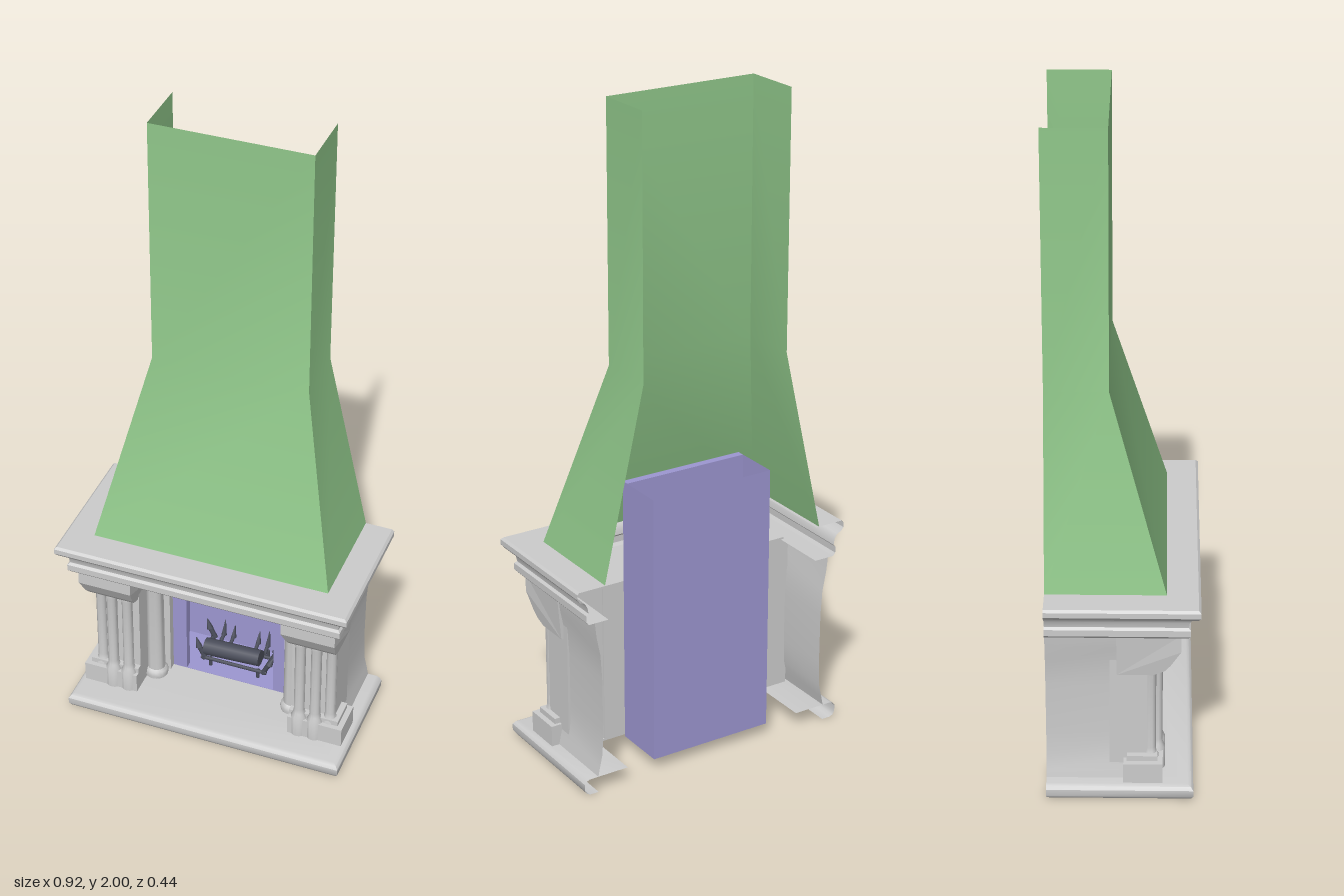
import * as THREE from 'three';
import { toCreasedNormals } from 'three/addons/utils/BufferGeometryUtils.js';

const paint = (color) => new THREE.MeshStandardMaterial({ color, side: THREE.DoubleSide });
const stone = paint(0xcccccc);
const green = paint(0x90c78a);
const purple = paint(0x9c96d0);
const iron = paint(0x4a4d5a);
const BACK = -0.225;

export function createModel() {
  const root = new THREE.Group();

  const add = (name, geometry, material, x = 0, y = 0, z = 0) => {
    const mesh = new THREE.Mesh(geometry, material);
    mesh.name = name;
    mesh.position.set(x, y, z);
    root.add(mesh);
    return mesh;
  };
  // Box given by its low and high corners
  const box = (name, material, [x0, y0, z0], [x1, y1, z1]) =>
    add(name, new THREE.BoxGeometry(x1 - x0, y1 - y0, z1 - z0), material,
      (x0 + x1) / 2, (y0 + y1) / 2, (z0 + z1) / 2);

  // Sheet joining rows of points: one row per profile point
  const sheet = (rows) => {
    const pos = rows.flat(2);
    const n = rows[0].length;
    const index = [];
    for (let r = 0; r < rows.length - 1; r++) {
      for (let c = 0; c < n - 1; c++) {
        const a = r * n + c;
        index.push(a, a + n, a + 1, a + 1, a + n, a + n + 1);
      }
    }
    const g = new THREE.BufferGeometry();
    g.setAttribute('position', new THREE.Float32BufferAttribute(pos, 3));
    g.setIndex(index);
    g.computeVertexNormals();
    return toCreasedNormals(g, 0.6);
  };
  // Moulding that runs round the two sides and the front, open at the back
  const surround = (profile) => sheet(profile.map(([x, y, z = x - 0.24]) =>
    [[-x, y, BACK], [-x, y, z], [x, y, z], [x, y, BACK]]));
  // Straight rod between two points
  const rod = (name, a, b, r0, r1 = r0) => {
    const from = new THREE.Vector3(...a);
    const dir = new THREE.Vector3(...b).sub(from);
    const mesh = add(name, new THREE.CylinderGeometry(r1, r0, dir.length(), 6), iron);
    mesh.position.copy(from).addScaledVector(dir, 0.5);
    mesh.quaternion.setFromUnitVectors(new THREE.Vector3(0, 1, 0), dir.normalize());
    return mesh;
  };
  const lathe = (points, segments = 16) =>
    toCreasedNormals(new THREE.LatheGeometry(points.map((p) => new THREE.Vector2(...p)), segments), 0.7);

  // Chimney hood
  add('hood', surround([[0.24, 2, -0.042], [0.24, 1.23, -0.042], [0.37, 0.655, 0.123]]), green);

  // Mantel and the ceiling beneath it
  add('mantel', surround([
    [0.36, 0.655], [0.453, 0.655], [0.46, 0.648], [0.46, 0.632], [0.452, 0.622], [0.437, 0.615],
    [0.428, 0.6], [0.425, 0.582], [0.432, 0.575], [0.432, 0.555], [0.424, 0.546], [0.36, 0.546],
  ]), stone);
  box('mantelSoffit', stone, [-0.37, 0.545, -0.045], [0.37, 0.552, 0.13]);

  // Hearth base and its floor
  add('hearthBase', surround([
    [0.3, 0.05], [0.428, 0.05], [0.438, 0.046], [0.445, 0.036],
    [0.445, 0.016], [0.438, 0.005], [0.428, 0], [0.4, 0],
  ]), stone);
  box('hearthFloor', stone, [-0.31, 0.044, -0.045], [0.31, 0.05, 0.08]);

  // Arched surround in front of the firebox
  const arch = new THREE.Shape();
  arch.moveTo(0.27, 0.05);
  arch.lineTo(0.27, 0.546);
  arch.lineTo(-0.27, 0.546);
  arch.lineTo(-0.27, 0.05);
  arch.lineTo(-0.19, 0.05);
  arch.lineTo(-0.19, 0.455);
  arch.quadraticCurveTo(-0.11, 0.505, 0, 0.505);
  arch.quadraticCurveTo(0.11, 0.505, 0.19, 0.455);
  arch.lineTo(0.19, 0.05);
  add('archSurround', new THREE.ExtrudeGeometry(arch, { depth: 0.025, bevelEnabled: false, curveSegments: 12 }),
    stone, 0, 0, -0.045);

  // Corbel seen from the side, drawn as (z, y)
  const corbel = new THREE.Shape([
    [-0.02, 0.546], [0.165, 0.546], [0.165, 0.49], [0.135, 0.44], [0.118, 0.42], [0.085, 0.405], [-0.02, 0.405],
  ].map((p) => new THREE.Vector2(...p)));
  const corbelGeometry = new THREE.ExtrudeGeometry(corbel, { depth: 0.145, bevelEnabled: false });
  corbelGeometry.rotateY(-Math.PI / 2);
  // Shoulders widen towards the top on the outer side
  const cp = corbelGeometry.attributes.position;
  for (let i = 0; i < cp.count; i++) {
    const grow = THREE.MathUtils.clamp((cp.getY(i) - 0.405) / 0.085, 0, 1) * 0.012;
    cp.setX(i, (cp.getX(i) + 0.0725) * (1 + grow / 0.0725));
  }
  corbelGeometry.computeVertexNormals();

  const slimColumn = lathe([
    [0, 0.05], [0.025, 0.05], [0.025, 0.12], [0.018, 0.135], [0.0165, 0.15], [0.0165, 0.4],
    [0.019, 0.41], [0.016, 0.43], [0.009, 0.442], [0, 0.447],
  ]);
  const wideColumn = lathe([
    [0, 0.05], [0.036, 0.05], [0.038, 0.06], [0.035, 0.072], [0.028, 0.08],
    [0.026, 0.48], [0.032, 0.51], [0.035, 0.53], [0.035, 0.546],
  ], 20);

  for (const s of [-1, 1]) {
    const span = (a, b) => [Math.min(s * a, s * b), Math.max(s * a, s * b)];
    // Side wall, flaring at head and foot
    add('sideWall', sheet([
      [0.405, 0.546], [0.4, 0.5], [0.388, 0.44], [0.383, 0.36], [0.382, 0.2], [0.385, 0.12], [0.395, 0.075], [0.4, 0.05],
    ].map(([x, y]) => [[s * x, y, BACK], [s * x, y, 0.03]])), stone);
    // Front pier with plinth
    const [p0, p1] = span(0.25, 0.39);
    box('pier', stone, [p0, 0.05, -0.04], [p1, 0.546, 0.08]);
    const [q0, q1] = span(0.25, 0.425);
    box('plinth', stone, [q0, 0.05, 0.0], [q1, 0.115, 0.115]);
    const [r0, r1] = span(0.25, 0.408);
    box('plinthStep', stone, [r0, 0.115, 0.01], [r1, 0.132, 0.1]);
    add('corbel', corbelGeometry, stone, s * 0.325, 0, 0);
    for (const x of [0.282, 0.333]) add('slimColumn', slimColumn, stone, s * x, 0, 0.097);
    add('cornerColumn', slimColumn, stone, s * 0.376, 0, 0.078);
    add('innerColumn', wideColumn, stone, s * 0.228, 0, 0.005);
  }

  // Firebox: tall open-topped shell behind a plate with a doorway
  const plate = new THREE.Shape([[0.2, 0.04], [0.2, 0.87], [-0.2, 0.87], [-0.2, 0.04], [-0.145, 0.04],
    [-0.145, 0.435], [0.145, 0.435], [0.145, 0.04]].map((p) => new THREE.Vector2(...p)));
  add('fireboxFront', new THREE.ExtrudeGeometry(plate, { depth: 0.024, bevelEnabled: false }), purple, 0, 0, -0.07);
  add('fireboxShell', sheet([0.87, 0.04].map((y) =>
    [[-0.2, y, -0.07], [-0.2, y, -0.21], [0.2, y, -0.21], [0.2, y, -0.07]])), purple);
  box('fireboxFloor', purple, [-0.2, 0.038, -0.21], [0.2, 0.05, -0.046]);

  // Fire grate
  for (const z of [-0.15, -0.08]) rod('grateRail', [-0.11, 0.08, z], [0.11, 0.08, z], 0.006);
  for (const s of [-1, 1]) {
    rod('grateSide', [s * 0.1, 0.08, -0.075], [s * 0.108, 0.08, -0.19], 0.008);
    for (const z of [-0.085, -0.18]) {
      rod('grateLeg', [s * 0.08, 0.045, z], [s * 0.08, 0.082, z], 0.006);
      rod('grateArm', [s * 0.1, 0.08, z], [s * 0.118, 0.115, z], 0.008);
      rod('grateTip', [s * 0.118, 0.112, z], [s * 0.132, 0.142, z - 0.01], 0.011, 0.001);
    }
    for (const [x, top] of [[0.042, 0.13], [0.075, 0.142]]) {
      rod('backBar', [s * x, 0.08, -0.15], [s * x, 0.095, -0.19], 0.006);
      rod('backSpike', [s * x, 0.09, -0.19], [s * x, top, -0.205], 0.009, 0.001);
    }
  }
  // Logs
  const log = (x, y, z, r, length) => {
    const mesh = add('log', new THREE.CylinderGeometry(r, r * 0.94, length, 14), iron, x, y, z);
    mesh.rotation.z = Math.PI / 2 + 0.04;
  };
  log(-0.012, 0.108, -0.106, 0.028, 0.185);
  log(0.0, 0.1, -0.128, 0.017, 0.16);

  return root;
}
